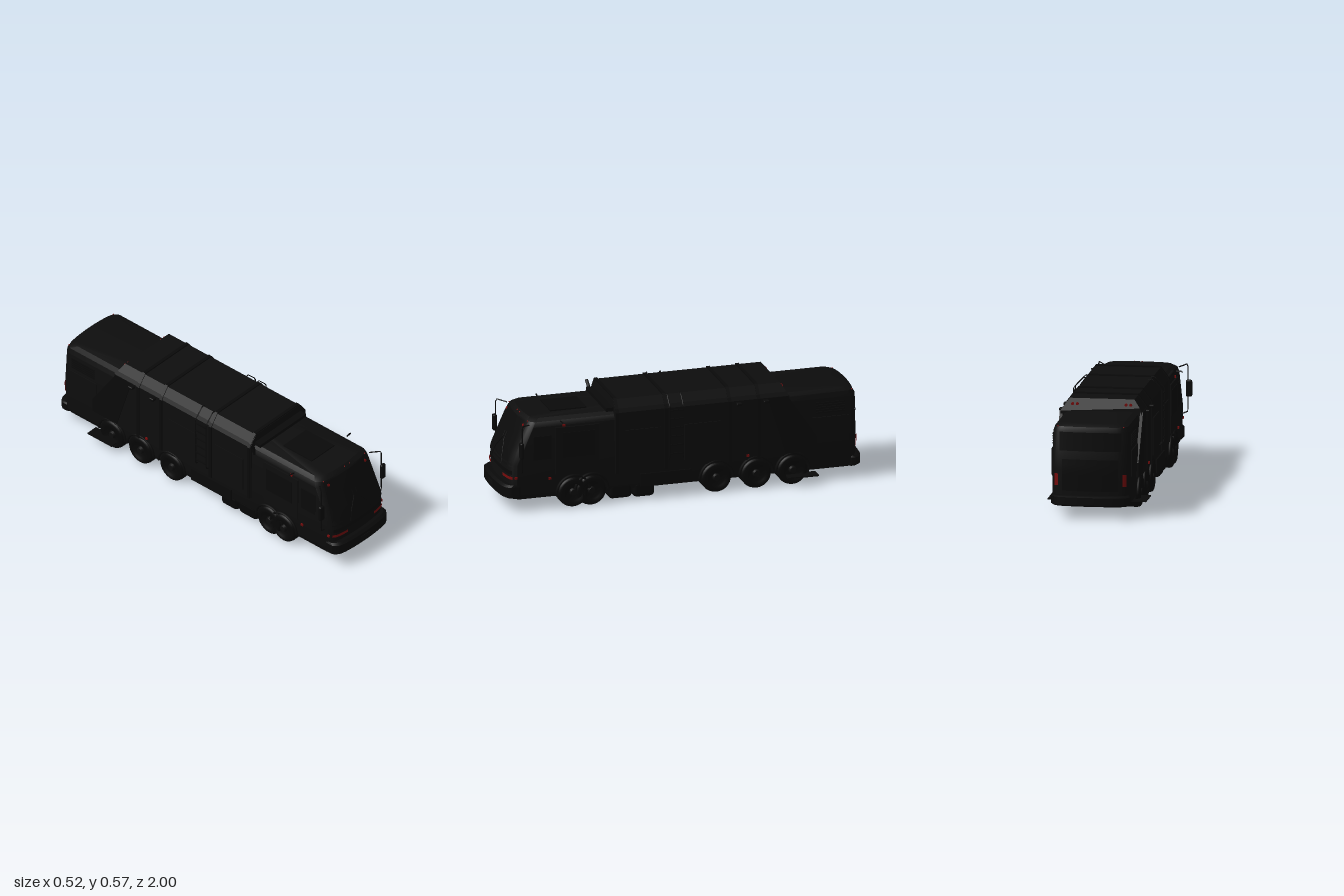
import * as THREE from 'three';
import { toCreasedNormals } from 'three/addons/utils/BufferGeometryUtils.js';
import { RoundedBoxGeometry } from 'three/addons/geometries/RoundedBoxGeometry.js';

const mat = (name, color, side = THREE.FrontSide) => {
  const m = new THREE.MeshStandardMaterial({ color, side });
  m.name = name;
  return m;
};

// Bowed plan shape shared by both ends: setback at s = -1..1 across the width
const bow = s => 0.018 * s * s + 0.03 * Math.pow(s, 12);

// Body levels: [y, half width, front z, rear z]
const LEVELS = [
  [0.066, 0.195, 0.95, -0.955], [0.09, 0.206, 0.965, -0.97], [0.26, 0.209, 0.965, -0.975],
  [0.46, 0.203, 0.876, -0.968], [0.487, 0.194, 0.862, -0.958], [0.502, 0.17, 0.84, -0.93],
];

function level(y) {
  let i = 0;
  while (i < LEVELS.length - 2 && y > LEVELS[i + 1][0]) i++;
  const a = LEVELS[i], b = LEVELS[i + 1], t = (y - a[0]) / (b[0] - a[0]);
  return a.map((v, k) => v + (b[k] - v) * t);
}

// Closed loft through horizontal bowed rings
function loft(levels) {
  const n = 24, pos = [], idx = [], ring = 2 * (n + 1);
  for (const [y, hw, zf, zr] of levels) {
    for (let i = 0; i <= n; i++) {
      const s = Math.sin((i / n - 0.5) * Math.PI);
      pos.push(hw * s, y, zf - bow(s));
    }
    for (let i = n; i >= 0; i--) {
      const s = Math.sin((i / n - 0.5) * Math.PI);
      pos.push(hw * s, y, zr + bow(s));
    }
  }
  for (let l = 0; l < levels.length - 1; l++) {
    for (let j = 0; j < ring; j++) {
      const a = l * ring + j, b = l * ring + (j + 1) % ring;
      idx.push(a, b, b + ring, a, b + ring, a + ring);
    }
  }
  const top = (levels.length - 1) * ring, c = pos.length / 3;
  for (const l of [levels[0], levels[levels.length - 1]]) pos.push(0, l[0], (l[2] + l[3]) / 2);
  for (let j = 0; j < ring; j++) {
    const k = (j + 1) % ring;
    idx.push(c, k, j, c + 1, top + j, top + k);
  }
  const g = new THREE.BufferGeometry();
  g.setAttribute('position', new THREE.Float32BufferAttribute(pos, 3));
  g.setIndex(idx);
  return toCreasedNormals(g, 0.5);
}

// Thin sheet hugging the bowed front (dir 1) or rear (dir -1) of the body
function endPatch(x, y, w, h, dir, lift = 0.003, taper = 0) {
  const g = new THREE.PlaneGeometry(w, h, 16, 6);
  const p = g.attributes.position;
  for (let i = 0; i < p.count; i++) {
    const py = y + p.getY(i);
    const px = x + dir * p.getX(i) * (1 - taper * (p.getY(i) / h + 0.5));
    const [, hw, zf, zr] = level(py), s = px / hw;
    p.setXYZ(i, px, py, dir > 0 ? zf - bow(s) + lift : zr + bow(s) - lift);
  }
  g.computeVertexNormals();
  return g;
}

export function createModel() {
  const group = new THREE.Group();
  const body = mat('body black', 0x0d0d0d);
  const trim = mat('trim black', 0x090909);
  const glass = mat('dark glass', 0x0a0a0a, THREE.DoubleSide);
  const rubber = mat('tyre black', 0x070707);
  const red = mat('lamp red', 0x760c0c, THREE.DoubleSide);

  const add = (name, geo, m, x = 0, y = 0, z = 0) => {
    const mesh = new THREE.Mesh(geo, m);
    mesh.name = name;
    mesh.position.set(x, y, z);
    group.add(mesh);
    return mesh;
  };
  const box = (name, m, x, y, z, w, h, d) => add(name, new THREE.BoxGeometry(w, h, d), m, x, y, z);
  const tube = (name, m, pts, r) => {
    const path = new THREE.CurvePath();
    const v = pts.map(p => new THREE.Vector3(...p));
    for (let i = 1; i < v.length; i++) path.add(new THREE.LineCurve3(v[i - 1], v[i]));
    return add(name, new THREE.TubeGeometry(path, (v.length - 1) * 6, r, 6), m);
  };

  // Hull and bumpers
  add('lowerBody', loft(LEVELS), body);
  add('frontBumper', loft([[0.075, 0.2, 0.985, 0.86], [0.085, 0.211, 1, 0.86],
    [0.14, 0.211, 1, 0.86], [0.15, 0.205, 0.985, 0.86]]), trim);
  add('rearBumper', loft([[0.066, 0.2, -0.88, -0.99], [0.075, 0.21, -0.88, -1],
    [0.115, 0.21, -0.88, -1], [0.123, 0.203, -0.88, -0.985]]), trim);

  // Raised chamfered hopper with sloping tail
  const section = (w, top, bottom) => new THREE.Shape([
    [-w, bottom], [w, bottom], [w, 0.5], [w - 0.012, 0.52], [0.172, top], [-0.172, top],
    [-w + 0.012, 0.52], [-w, 0.5]].map(p => new THREE.Vector2(...p)));
  const hopper = new THREE.ExtrudeGeometry(section(0.217, 0.563, 0.165), { depth: 0.96, bevelEnabled: false });
  hopper.translate(0, 0, -0.58);
  const hp = hopper.attributes.position;
  for (let i = 0; i < hp.count; i++)
    if (hp.getZ(i) < -0.5 && hp.getY(i) > 0.5) hp.setZ(i, -0.58 + (hp.getY(i) - 0.5) * 0.6);
  hopper.computeVertexNormals();
  add('hopper', hopper, body);
  for (const z of [0.36, 0.09, -0.26, -0.42]) {
    const g = new THREE.ExtrudeGeometry(section(0.222, 0.57, 0.165), { depth: 0.018, bevelEnabled: false });
    add('hopperRib', g, trim, 0, 0, z);
  }

  // Windscreen, wipers, rear window, grille and plate recess
  add('windscreen', endPatch(0, 0.365, 0.39, 0.235, 1, 0.003, 0.14), glass);
  add('rearWindow', endPatch(0, 0.41, 0.33, 0.1, -1), glass);
  add('rearHatch', endPatch(0, 0.23, 0.3, 0.17, -1), trim);
  add('frontGrille', endPatch(0, 0.215, 0.38, 0.022, 1, 0.002), trim);
  box('plateRecess', body, 0, 0.112, 0.999, 0.065, 0.025, 0.006);
  for (const s of [1, -1]) {
    const pts = [[0.014, 0.385], [0.014, 0.35], [0.062, 0.29], [0.08, 0.24]];
    tube('wiper', trim, pts.map(([x, y]) => {
      const [, hw, zf] = level(y);
      return [s * x, y, zf - bow(x / hw) + 0.006];
    }), 0.0025);
  }

  // Red lamps on the ends
  for (const s of [1, -1]) {
    add('frontLamp', endPatch(s * 0.149, 0.187, 0.092, 0.016, 1, 0.006), red);
    add('rearLamp', endPatch(s * 0.182, 0.205, 0.018, 0.065, -1, 0.006), red);
    add('cornerMarker', new THREE.SphereGeometry(0.004, 8, 6), red, s * 0.163, 0.487, level(0.487)[2] - 0.014);
    add('rearMarker', new THREE.SphereGeometry(0.004, 8, 6), red, s * 0.175, 0.487, -0.937);
    const lamp = add('screenLamp', new THREE.CylinderGeometry(0.008, 0.008, 0.006, 16), red,
      s * 0.144, 0.462, level(0.462)[2] - 0.008);
    lamp.rotation.x = Math.PI / 2 - 0.42;
    for (const x of [0.13, 0.155]) {
      const tail = add('tailMarker', new THREE.CylinderGeometry(0.008, 0.008, 0.006, 12), red, s * x, 0.535, -0.56);
      tail.rotation.x = Math.PI / 2;
    }
  }
  for (const x of [-0.002, 0.038]) add('roofMarker', new THREE.SphereGeometry(0.004, 8, 6), red, x, 0.498, 0.853);

  // Chassis under the body
  box('chassis', trim, 0.015, 0.055, -0.05, 0.16, 0.044, 1.2);
  for (const z of [0.51, 0.61, -0.18, -0.4, -0.6]) {
    const axle = add('axle', new THREE.CylinderGeometry(0.018, 0.018, 0.32, 10), trim, 0, 0.083, z);
    axle.rotation.z = Math.PI / 2;
  }

  const tyreProfile = [[0.04, -0.06], [0.07, -0.07], [0.079, -0.064], [0.083, -0.05],
    [0.083, 0.05], [0.079, 0.064], [0.07, 0.07], [0.048, 0.072], [0.044, 0.058], [0.001, 0.058]];
  const tyre = new THREE.LatheGeometry(tyreProfile.map(p => new THREE.Vector2(...p)), 32);
  const tyreMat = mat('tyre black', 0x070707, THREE.DoubleSide);

  for (const s of [1, -1]) {
    // Wheels, hubs and arches
    for (const z of [0.61, 0.51, -0.18, -0.4, -0.6]) {
      const wheel = add('wheel', tyre, tyreMat, s * 0.15, 0.083, z);
      wheel.rotation.z = -s * Math.PI / 2;
      const hub = add('wheelHub', new THREE.CylinderGeometry(0.016, 0.024, 0.02, 16), body, s * 0.212, 0.083, z);
      hub.rotation.z = -s * Math.PI / 2;
      const arch = add('wheelArch', new THREE.TorusGeometry(0.092, 0.007, 6, 24, Math.PI), trim, s * 0.212, 0.085, z);
      arch.rotation.y = Math.PI / 2;
    }
    // Side tanks, skirts and the folding step near the back
    add('sideTank', new RoundedBoxGeometry(0.13, 0.09, 0.13, 3, 0.025), rubber, s * 0.14, 0.06, 0.345);
    add('sideTank', new RoundedBoxGeometry(0.13, 0.09, 0.12, 3, 0.025), rubber, s * 0.14, 0.056, 0.215);
    box('sideSkirt', trim, s * 0.208, 0.11, 0.1, 0.016, 0.07, 0.28);
    box('stepPlate', trim, s * 0.228, 0.053, -0.645, 0.068, 0.007, 0.17);
    box('stepBracket', trim, s * 0.19, 0.06, -0.645, 0.02, 0.035, 0.1);

    // Cab door, side windows, rear louvres and slanted tail panel
    box('cabDoor', body, s * 0.209, 0.32, 0.59, 0.008, 0.26, 0.24);
    box('doorWindow', glass, s * 0.212, 0.35, 0.58, 0.008, 0.14, 0.18);
    box('sideWindow', glass, s * 0.206, 0.345, 0.78, 0.006, 0.13, 0.1);
    for (let i = 0; i < 5; i++) box('louvre', trim, s * 0.208, 0.385 + i * 0.013, -0.81, 0.006, 0.007, 0.16);
    box('rearPanel', body, s * 0.212, 0.29, -0.81, 0.006, 0.14, 0.2);
    const strut = new THREE.Shape([[-0.46, 0.5], [-0.57, 0.5], [-0.73, 0.26], [-0.73, 0.18], [-0.56, 0.18]]
      .map(([z, y]) => new THREE.Vector2(-z, y)));
    const panel = add('tailPanel', new THREE.ExtrudeGeometry(strut, { depth: 0.016, bevelEnabled: false }), trim,
      s * 0.214 - 0.008, 0, 0);
    panel.rotation.y = Math.PI / 2;
    box('sideLocker', body, s * 0.219, 0.3, 0.23, 0.006, 0.2, 0.2);
    box('sideLocker', body, s * 0.219, 0.3, -0.1, 0.006, 0.2, 0.2);

    // Ladder up and over the hopper edge
    for (const z of [0.01, 0.085])
      tube('ladderRail', trim, [[s * 0.218, 0.215, z], [s * 0.237, 0.225, z], [s * 0.237, 0.512, z],
        [s * 0.182, 0.568, z], [s * 0.165, 0.563, z]], 0.003);
    for (let i = 0; i < 6; i++) box('ladderRung', trim, s * 0.237, 0.25 + i * 0.048, 0.0475, 0.006, 0.006, 0.075);

    // Mirrors on bent arms
    tube('mirrorArm', trim, [[s * 0.195, 0.475, 0.85], [s * 0.238, 0.485, 0.9], [s * 0.238, 0.23, 0.9],
      [s * 0.2, 0.215, 0.89]], 0.0035);
    add('mirror', new RoundedBoxGeometry(0.034, 0.09, 0.022, 3, 0.009), trim, s * 0.243, 0.353, 0.905);
    tube('doorHandle', trim, [[s * 0.208, 0.485, 0.68], [s * 0.245, 0.485, 0.675]], 0.004);

    // Work lamps beside the hopper
    for (const z of [-0.3, -0.45])
      add('workLamp', new RoundedBoxGeometry(0.028, 0.016, 0.03, 2, 0.005), trim, s * 0.228, 0.485, z);

    // Small red side markers
    for (const [x, y, z] of [[0.208, 0.19, 0.925], [0.211, 0.172, 0.74], [0.22, 0.19, -0.35], [0.207, 0.46, 0.66]])
      box('sideMarker', red, s * x, y, z, 0.008, 0.012, 0.014);
  }

  // Exhaust tip and roof details
  tube('exhaust', trim, [[-0.2, 0.46, 0.395], [-0.212, 0.51, 0.395], [-0.236, 0.54, 0.4]], 0.009);
  box('roofHatch', trim, 0, 0.504, 0.6, 0.18, 0.008, 0.2);
  box('roofStep', trim, 0, 0.51, 0.4, 0.36, 0.02, 0.04);
  return group;
}
